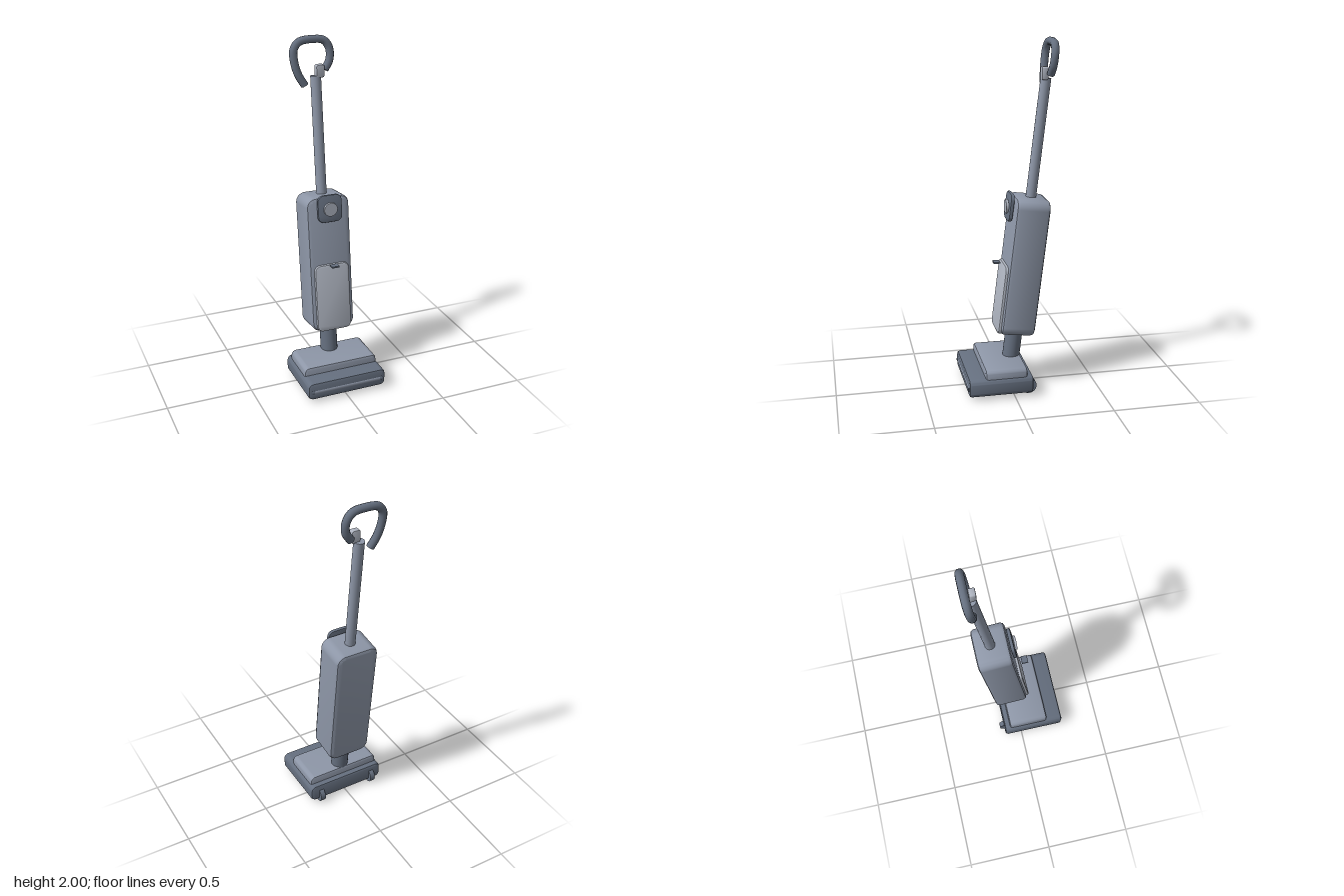
import * as THREE from 'three';
import { toCreasedNormals } from 'three/addons/utils/BufferGeometryUtils.js';

const TILT = 0.12;
const DARK = 0x667080, MID = 0x8e97a8, LIGHT = 0xb0b6c2;

function addPart(parent, name, geometry, color, x = 0, y = 0, z = 0) {
  const mesh = new THREE.Mesh(geometry, new THREE.MeshStandardMaterial({ color }));
  mesh.name = name;
  mesh.position.set(x, y, z);
  parent.add(mesh);
  return mesh;
}

// Block with rounded corners in the XY outline and bevelled front and back rims
function roundedBlock(w, h, d, r, bevel) {
  const a = w / 2 - bevel, b = h / 2 - bevel, c = Math.max(r - bevel, 0.002);
  const s = new THREE.Shape();
  s.absarc(a - c, b - c, c, 0, Math.PI / 2);
  s.absarc(c - a, b - c, c, Math.PI / 2, Math.PI);
  s.absarc(c - a, c - b, c, Math.PI, Math.PI * 1.5);
  s.absarc(a - c, c - b, c, Math.PI * 1.5, Math.PI * 2);
  const g = new THREE.ExtrudeGeometry(s, {
    depth: d - 2 * bevel, bevelSize: bevel, bevelThickness: bevel,
    bevelSegments: 2, curveSegments: 5,
  });
  g.translate(0, 0, bevel - d / 2);
  return toCreasedNormals(g, 0.5);
}

const rod = (r, len, sides = 20) => new THREE.CylinderGeometry(r, r, len, sides);
const rodX = (r, len, sides = 20) => rod(r, len, sides).rotateZ(Math.PI / 2);

function buildHead() {
  const head = new THREE.Group();
  head.name = 'floorHead';
  addPart(head, 'headBase', roundedBlock(0.48, 0.105, 0.37, 0.032, 0.015), DARK, 0, 0.0705, 0.08);
  addPart(head, 'headCover', roundedBlock(0.45, 0.1, 0.24, 0.03, 0.014), MID, 0, 0.12, 0.048);
  addPart(head, 'frontRoller', rodX(0.017, 0.42), MID, 0, 0.066, 0.251);
  for (const side of [-1, 1]) {
    addPart(head, 'rollerCap', rodX(0.018, 0.014), DARK, side * 0.212, 0.066, 0.252);
    addPart(head, 'rearWheel', rodX(0.045, 0.03, 24), DARK, side * 0.174, 0.045, -0.087);
  }
  return head;
}

function buildUpright() {
  const upright = new THREE.Group();
  upright.name = 'upright';
  upright.rotation.x = -TILT;
  addPart(upright, 'neck', rod(0.05, 0.22), DARK, 0, 0.24, 0);
  addPart(upright, 'body', roundedBlock(0.26, 0.803, 0.196, 0.055, 0.022), MID, 0, 0.7235, 0.003);
  addPart(upright, 'tankPanel', roundedBlock(0.21, 0.403, 0.04, 0.035, 0.01), LIGHT, 0, 0.5265, 0.097);
  addPart(upright, 'displayPlate', roundedBlock(0.146, 0.158, 0.021, 0.036, 0.006), DARK, 0, 1.061, 0.117);
  addPart(upright, 'stick', rod(0.03, 0.7, 16), MID, 0, 1.445, 0);
  return upright;
}

// Open loop grip, leaning back with the stick
function buildHandle() {
  const handle = new THREE.Group();
  handle.name = 'handle';
  const points = [
    [-0.063, 1.731], [-0.097, 1.79], [-0.117, 1.86], [-0.117, 1.93], [-0.085, 1.968],
    [0, 1.978], [0.06, 1.968], [0.091, 1.925], [0.09, 1.86], [0.058, 1.807],
  ].map(([x, y]) => new THREE.Vector3(x, y, -0.01 - y * Math.tan(TILT)));
  const path = new THREE.CatmullRomCurve3(points);
  addPart(handle, 'gripLoop', new THREE.TubeGeometry(path, 48, 0.0225, 10), DARK);
  // Flat end caps for the tube
  for (const t of [0, 1]) {
    const cap = addPart(handle, 'gripEnd', new THREE.CircleGeometry(0.0225, 10), DARK);
    const p = path.getPoint(t);
    const out = path.getTangent(t).multiplyScalar(t ? 1 : -1);
    cap.position.copy(p);
    cap.lookAt(p.clone().add(out));
  }
  addPart(handle, 'trigger', roundedBlock(0.048, 0.072, 0.036, 0.01, 0.006), LIGHT, 0.018, 1.81, -0.202);
  return handle;
}

export function createModel() {
  const model = new THREE.Group();
  model.name = 'uprightVacuum';
  model.add(buildHead(), buildUpright(), buildHandle());
  // Small front details
  addPart(model, 'displayDial', rod(0.04, 0.014, 24).rotateX(Math.PI / 2), LIGHT, 0, 1.067, 0.006);
  addPart(model, 'tankLatch', new THREE.BoxGeometry(0.045, 0.009, 0.037), DARK, 0, 0.742, 0.065);
  return model;
}
